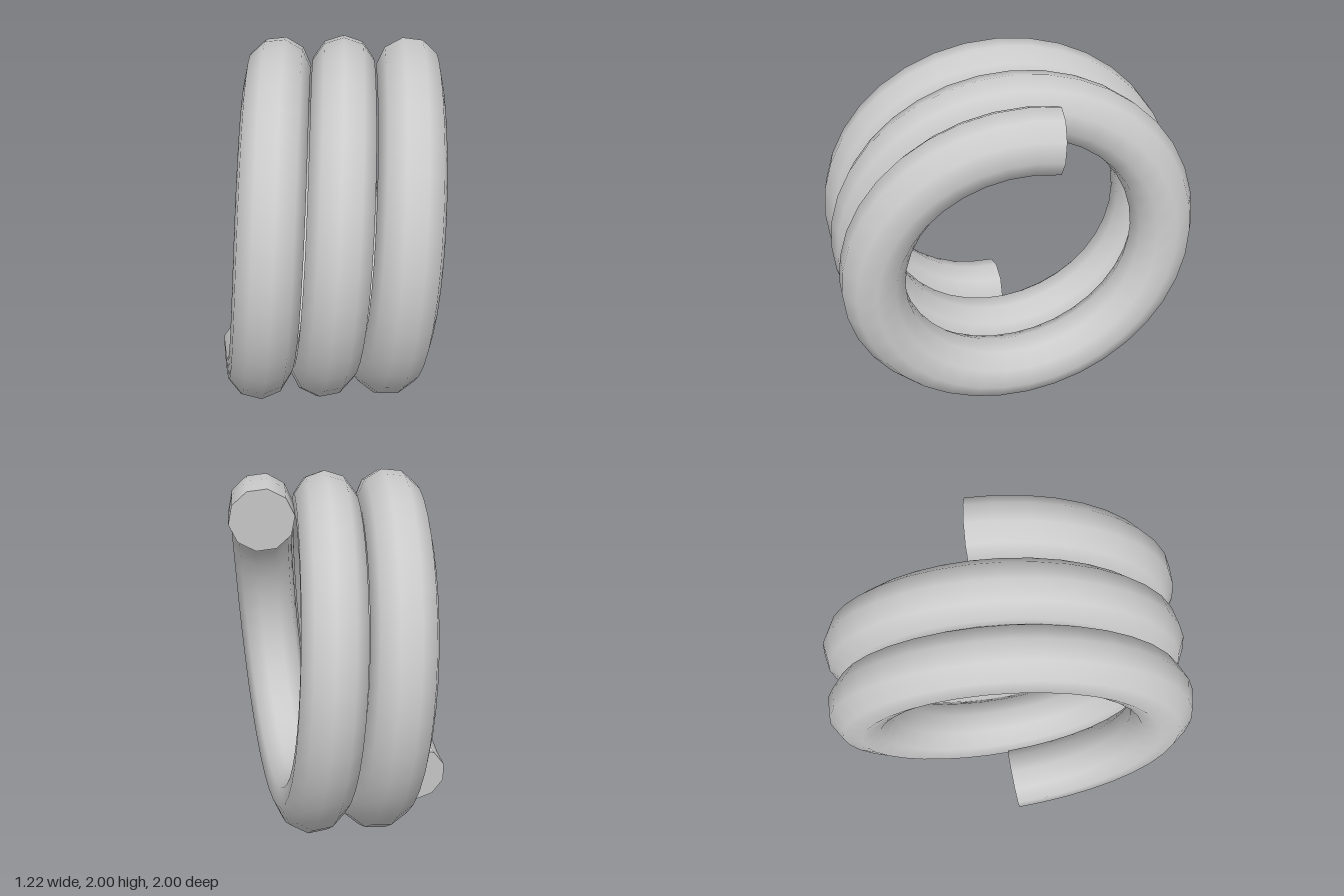
import * as THREE from 'three';

const COIL_RADIUS = 0.825, WIRE_RADIUS = 0.175, PITCH = 0.35;
const SIDES = 10, STEPS_PER_TURN = 36, STEPS = 91;
const STEP = (Math.PI * 2) / STEPS_PER_TURN;
const SLOPE = PITCH / (Math.PI * 2 * COIL_RADIUS);

// Cross-section of the wire at a step: its centre, direction and rim normals
function section(i) {
  const angle = i * STEP;
  // the two end cuts are square to the first and last straight pieces
  const facing = angle + (i === 0 ? STEP / 2 : i === STEPS ? -STEP / 2 : 0);
  const centre = new THREE.Vector3(
    -0.45 + (PITCH * i) / STEPS_PER_TURN,
    1 - COIL_RADIUS * Math.cos(angle),
    COIL_RADIUS * Math.sin(angle)
  );
  const along = new THREE.Vector3(SLOPE, Math.sin(facing), Math.cos(facing)).normalize();
  const outward = new THREE.Vector3(0, -Math.cos(facing), Math.sin(facing));
  const sideways = new THREE.Vector3().crossVectors(along, outward);
  const normals = [];
  for (let k = 0; k <= SIDES; k++) {
    // the section twists slowly as the wire climbs
    const a = (k / SIDES) * Math.PI * 2 + SLOPE * angle;
    normals.push(outward.clone().multiplyScalar(Math.cos(a)).addScaledVector(sideways, Math.sin(a)));
  }
  return { centre, along, normals };
}

function coilGeometry() {
  const positions = [], normals = [], indices = [];
  const add = (p, n) => {
    positions.push(p.x, p.y, p.z);
    normals.push(n.x, n.y, n.z);
    return positions.length / 3 - 1;
  };
  const rim = (s, n) => s.centre.clone().addScaledVector(n, WIRE_RADIUS);

  // Smooth wire surface
  for (let i = 0; i <= STEPS; i++) {
    const s = section(i);
    s.normals.forEach((n) => add(rim(s, n), n));
  }
  const row = SIDES + 1;
  for (let i = 0; i < STEPS; i++) {
    for (let k = 0; k < SIDES; k++) {
      const a = i * row + k, d = a + row;
      indices.push(a, a + 1, d + 1, a, d + 1, d);
    }
  }

  // Flat cuts at both ends
  for (const i of [0, STEPS]) {
    const s = section(i);
    const n = i === 0 ? s.along.clone().negate() : s.along;
    const c = add(s.centre, n);
    s.normals.forEach((r) => add(rim(s, r), n));
    for (let k = 1; k <= SIDES; k++) {
      if (i === 0) indices.push(c, c + k + 1, c + k);
      else indices.push(c, c + k, c + k + 1);
    }
  }

  const geometry = new THREE.BufferGeometry();
  geometry.setAttribute('position', new THREE.Float32BufferAttribute(positions, 3));
  geometry.setAttribute('normal', new THREE.Float32BufferAttribute(normals, 3));
  geometry.setIndex(indices);
  return geometry;
}

export function createModel() {
  const group = new THREE.Group();
  group.name = 'coilSpring';
  const coil = new THREE.Mesh(coilGeometry(), new THREE.MeshStandardMaterial({ color: 0xcccccc }));
  coil.name = 'coiledWire';
  group.add(coil);
  return group;
}
